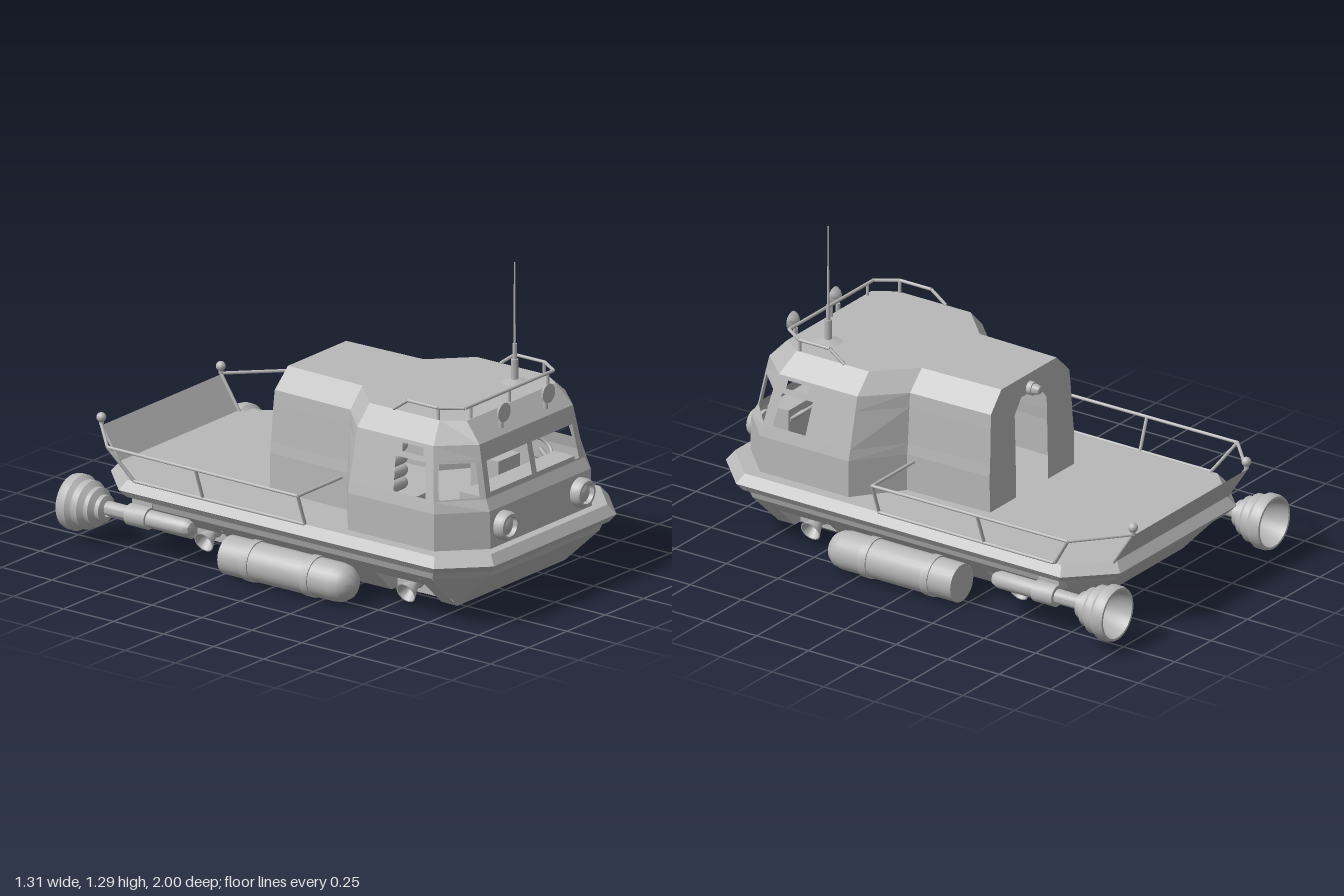
import * as THREE from 'three';
import { toCreasedNormals } from 'three/addons/utils/BufferGeometryUtils.js';

const grey = new THREE.MeshStandardMaterial({ color: 0xb8b8b8, side: THREE.DoubleSide });
grey.name = 'plain grey';
const V = (p) => new THREE.Vector3(...p);

export function createModel() {
  const model = new THREE.Group();
  model.name = 'patrolBoat';

  function add(name, geo, pos = [0, 0, 0]) {
    const mesh = new THREE.Mesh(geo, grey);
    mesh.name = name;
    mesh.position.set(...pos);
    model.add(mesh);
    return mesh;
  }

  // flat faceted surface from quads of the left half, mirrored across x = 0
  function mirroredSurface(name, quads) {
    const out = [];
    for (const [a, b, c, d] of quads) {
      out.push(...a, ...b, ...c, ...a, ...c, ...d);
      const [e, f, g, h] = [a, b, c, d].map(([x, y, z]) => [-x, y, z]);
      out.push(...e, ...g, ...f, ...e, ...h, ...g);
    }
    const geo = new THREE.BufferGeometry();
    geo.setAttribute('position', new THREE.Float32BufferAttribute(out, 3));
    geo.computeVertexNormals();
    return add(name, geo);
  }

  // round bar between two points
  function bar(name, a, b, r0 = 0.007, r1 = r0) {
    const from = V(a), dir = V(b).sub(from);
    const geo = new THREE.CylinderGeometry(r1, r0, dir.length(), 8);
    const mesh = add(name, geo, from.clone().addScaledVector(dir, 0.5).toArray());
    mesh.quaternion.setFromUnitVectors(new THREE.Vector3(0, 1, 0), dir.normalize());
    return mesh;
  }
  const rail = (name, pts) => pts.slice(1).forEach((p, i) => bar(name, pts[i], p));

  // turned part along z, profile as [radius, z]
  function turned(name, profile, pos, seg = 28) {
    const geo = new THREE.LatheGeometry(profile.map(([r, z]) => new THREE.Vector2(r, z)), seg);
    geo.rotateX(Math.PI / 2);
    return add(name, toCreasedNormals(geo, 0.6), pos);
  }

  // ---- hull: chamfered rings, half outline from bow centre to stern centre
  const hullRing = (y, hx, zf, zb, c) => [
    [0, y, zf], [hx - c, y, zf], [hx, y, zf - c], [hx, y, zb + c], [hx - c, y, zb], [0, y, zb]];
  const rings = [
    hullRing(0.2, 0.52, 0.95, -0.84, 0.165), hullRing(0.232, 0.53, 0.96, -0.85, 0.165),
    hullRing(0.236, 0.55, 0.98, -0.89, 0.17), hullRing(0.265, 0.57, 1.0, -0.915, 0.17),
    hullRing(0.305, 0.54, 0.97, -0.885, 0.16)];
  const gunwale = [];
  for (let k = 0; k < rings.length - 1; k++)
    for (let i = 0; i < 5; i++)
      gunwale.push([rings[k][i], rings[k][i + 1], rings[k + 1][i + 1], rings[k + 1][i]]);
  mirroredSurface('gunwale', gunwale);
  const capTop = (ring) => ring.slice(1).map((p, i) =>
    [ring[i], p, [0, p[1], p[2]], [0, p[1], ring[i][2]]]);
  mirroredSurface('deck', capTop(rings[4]));

  // lower hull with recesses for the manoeuvring nozzles
  const r0 = rings[0], B = 0.04, bow = [0.35, B, 0.78], stern = [0.35, B, -0.69];
  const lower = [
    [[0, B, 0.78], bow, r0[1], r0[0]], [bow, bow, r0[2], r0[1]],
    [stern, stern, r0[4], r0[3]], [stern, [0, B, -0.69], r0[5], r0[4]]];
  const stations = [0.78, 0.7, 0.45, -0.3, -0.55, -0.69];
  for (let i = 0; i < 5; i++) {
    const [a, b] = [stations[i], stations[i + 1]];
    const recess = i % 2 === 1;
    const profile = recess ? [[0.52, 0.2], [0.46, 0.143], [0.31, 0.143], [0.31, B], [0, B]]
      : [[0.52, 0.2], [0.35, B], [0, B]];
    for (let j = 1; j < profile.length; j++) {
      const [p, q] = [profile[j - 1], profile[j]];
      lower.push([[...q, a], [...q, b], [...p, b], [...p, a]]);
    }
    if (recess) for (const z of [a, b])
      lower.push([[0.31, B, z], [0.35, B, z], [0.46, 0.143, z], [0.31, 0.143, z]]);
  }
  mirroredSurface('lowerHull', lower);

  // sloping stern board
  mirroredSurface('sternBoard', [
    [[0, 0.305, -0.885], [0.39, 0.305, -0.885], [0.39, 0.44, -0.97], [0, 0.44, -0.97]]]);

  // ---- cabin shell: half outlines by level, bow centre to stern centre
  const level = (y, front, side, sz, neck, rear, door) => [
    [0, y, front[1]], [front[0], y, front[1]], [side, y, sz], [side, y, 0.34],
    [neck, y, 0.19], [neck - 0.01, y, rear], [door, y, rear], [0, y, rear]];
  const levels = [
    level(0.305, [0.33, 0.93], 0.49, 0.77, 0.3, -0.205, 0.11),
    level(0.46, [0.33, 0.925], 0.49, 0.77, 0.3, -0.203, 0.11),
    level(0.505, [0.32, 0.9], 0.48, 0.76, 0.295, -0.202, 0.11),
    level(0.66, [0.31, 0.868], 0.444, 0.731, 0.285, -0.198, 0.11),
    level(0.72, [0.305, 0.855], 0.43, 0.72, 0.28, -0.195, 0.06),
    level(0.8, [0.29, 0.78], 0.35, 0.69, 0.2, -0.19, 0.06)];
  // window openings [u0, u1, v0, v1], keyed by level and panel
  const windows = {
    '2,0': [0.05, 0.9, 0.04, 0.93], '2,1': [0.12, 0.9, 0.04, 0.93],
    '2,2': [0.1, 0.48, 0.04, 0.93], '3,2': [0.13, 0.4, 0.2, 0.75] };
  const cabin = capTop(levels[5]);
  for (let k = 0; k < 5; k++) for (let i = 0; i < (k < 4 ? 6 : 7); i++) {
    const [a, b, c, d] = [levels[k][i], levels[k][i + 1], levels[k + 1][i + 1], levels[k + 1][i]];
    const hole = windows[`${k},${i}`];
    if (!hole) { cabin.push([a, b, c, d]); continue; }
    const at = (u, v) => V(a).lerp(V(b), u).lerp(V(d).lerp(V(c), u), v).toArray();
    const patch = (s, t, v, w) => cabin.push([at(s, v), at(t, v), at(t, w), at(s, w)]);
    const [s, t, v, w] = hole;
    patch(0, 1, 0, v);
    patch(0, 1, w, 1);
    patch(0, s, v, w);
    patch(t, 1, v, w);
  }
  mirroredSurface('cabinShell', cabin);

  // ---- cockpit
  add('dashboard', new THREE.BoxGeometry(0.62, 0.18, 0.1), [0, 0.415, 0.81]);
  const wheel = add('steeringWheel', new THREE.TorusGeometry(0.055, 0.007, 8, 24), [0.29, 0.51, 0.7]);
  wheel.rotation.x = -0.9;
  bar('steeringColumn', [0.29, 0.51, 0.7], [0.29, 0.45, 0.77], 0.01);

  // ---- roof equipment
  const roofRail = [[0.35, 0.8, 0.46], [0.35, 0.85, 0.53], [0.35, 0.85, 0.68], [0.29, 0.85, 0.77]];
  const flip = (pts) => pts.map(([x, y, z]) => [-x, y, z]);
  rail('roofRail', [...roofRail, ...flip(roofRail).reverse()]);
  for (const [x, z] of [[0, 0.77], [0.25, 0.77], [-0.25, 0.77], [0.345, 0.68], [-0.345, 0.68]])
    bar('roofRailPost', [x, 0.8, z], [x, 0.85, z]);

  bar('antennaFoot', [0.205, 0.8, 0.64], [0.205, 0.812, 0.64], 0.06, 0.016);
  bar('antennaBase', [0.205, 0.81, 0.64], [0.205, 0.895, 0.64], 0.015);
  bar('antennaSleeve', [0.205, 0.89, 0.64], [0.205, 0.96, 0.64], 0.009);
  bar('antennaMast', [0.205, 0.95, 0.64], [0.205, 1.3, 0.64], 0.005, 0.003);
  turned('rearLamp', [[0, -0.055], [0.015, -0.05], [0.022, -0.03], [0.022, -0.02], [0.028, -0.02],
    [0.028, 0.01]], [0, 0.74, -0.195], 16);

  // ---- paired parts on both sides
  for (const s of [1, -1]) {
    // seats with stacked back cushions
    add('seatBase', new THREE.BoxGeometry(0.14, 0.13, 0.14), [s * 0.3, 0.37, 0.47]);
    for (let i = 0; i < 4; i++)
      add('seatCushion', new THREE.CapsuleGeometry(0.027, 0.08, 4, 10).rotateZ(Math.PI / 2),
        [s * 0.3, 0.46 + i * 0.053, 0.43]);

    // headlamps and searchlights
    turned('headlamp', [[0.06, -0.02], [0.06, 0.025], [0.052, 0.04], [0.042, 0.04], [0.04, 0.02],
      [0.025, 0.03], [0, 0.034]], [s * 0.25, 0.385, 0.93]);
    turned('searchlight', [[0, -0.03], [0.018, -0.026], [0.032, -0.014], [0.04, 0], [0, 0.004]],
      [s * 0.145, 0.812, 0.858], 20);
    bar('searchlightStem', [s * 0.145, 0.745, 0.84], [s * 0.145, 0.785, 0.84], 0.01);

    // side railing
    const X = s * 0.585, end = [s * 0.39, 0.445, -0.97];
    rail('sideRail', [[s * 0.3, 0.435, 0.16], [X, 0.435, 0.16], [X, 0.44, -0.79], end]);
    for (const z of [0.16, -0.35]) bar('sideRailPost', [s * 0.535, 0.3, z], [X, 0.437, z]);
    bar('sideRailFoot', [s * 0.54, 0.305, 0.16], [s * 0.54, 0.305, -0.69]);
    bar('sternRailPost', [s * 0.535, 0.3, -0.69], [X, 0.44, -0.79]);
    bar('sternCornerPost', [s * 0.39, 0.3, -0.875], end);
    bar('lampStem', end, [s * 0.39, 0.47, -0.97], 0.01);
    add('sternLamp', new THREE.SphereGeometry(0.02, 14, 10), [s * 0.39, 0.475, -0.97]);

    // side tanks with bands
    turned('sideTank', [[0, -0.23], [0.08, -0.23], [0.08, 0.32], [0.074, 0.353], [0.057, 0.379],
      [0.032, 0.396], [0, 0.402]], [s * 0.52, 0.09, 0]);
    for (const z of [0.2, -0.1])
      turned('tankBand', [[0.08, -0.018], [0.085, -0.018], [0.085, 0.018], [0.08, 0.018]],
        [s * 0.52, 0.09, z]);

    // stern thrusters with hollow bells
    turned('thrusterPipe', [[0.03, -0.85], [0.03, -0.71], [0.045, -0.71], [0.045, -0.61],
      [0.036, -0.61], [0.036, -0.43], [0.025, -0.405], [0, -0.395]], [s * 0.54, 0.165, 0], 20);
    turned('thrusterBell', [[0.03, -0.82], [0.055, -0.83], [0.055, -0.85], [0.08, -0.865],
      [0.08, -0.885], [0.1, -0.905], [0.1, -0.935], [0.115, -0.955], [0.115, -0.985],
      [0.11, -1], [0.1, -1], [0.09, -0.95], [0.06, -0.89], [0, -0.86]], [s * 0.54, 0.16, 0], 32);
    add('thrusterBracket', new THREE.BoxGeometry(0.06, 0.05, 0.1), [s * 0.5, 0.205, -0.66]);

    // manoeuvring nozzles in the hull recesses
    for (const z of [0.575, -0.435]) {
      const nozzle = turned('nozzle', [[0, -0.05], [0.03, -0.05], [0.03, -0.015], [0.02, 0],
        [0.03, 0.025], [0.045, 0.06], [0.04, 0.06], [0.015, 0.005], [0, 0.005]],
        [s * 0.365, 0.092, z], 18);
      nozzle.lookAt(s * 0.465, 0.052, z);
    }
  }
  return model;
}
